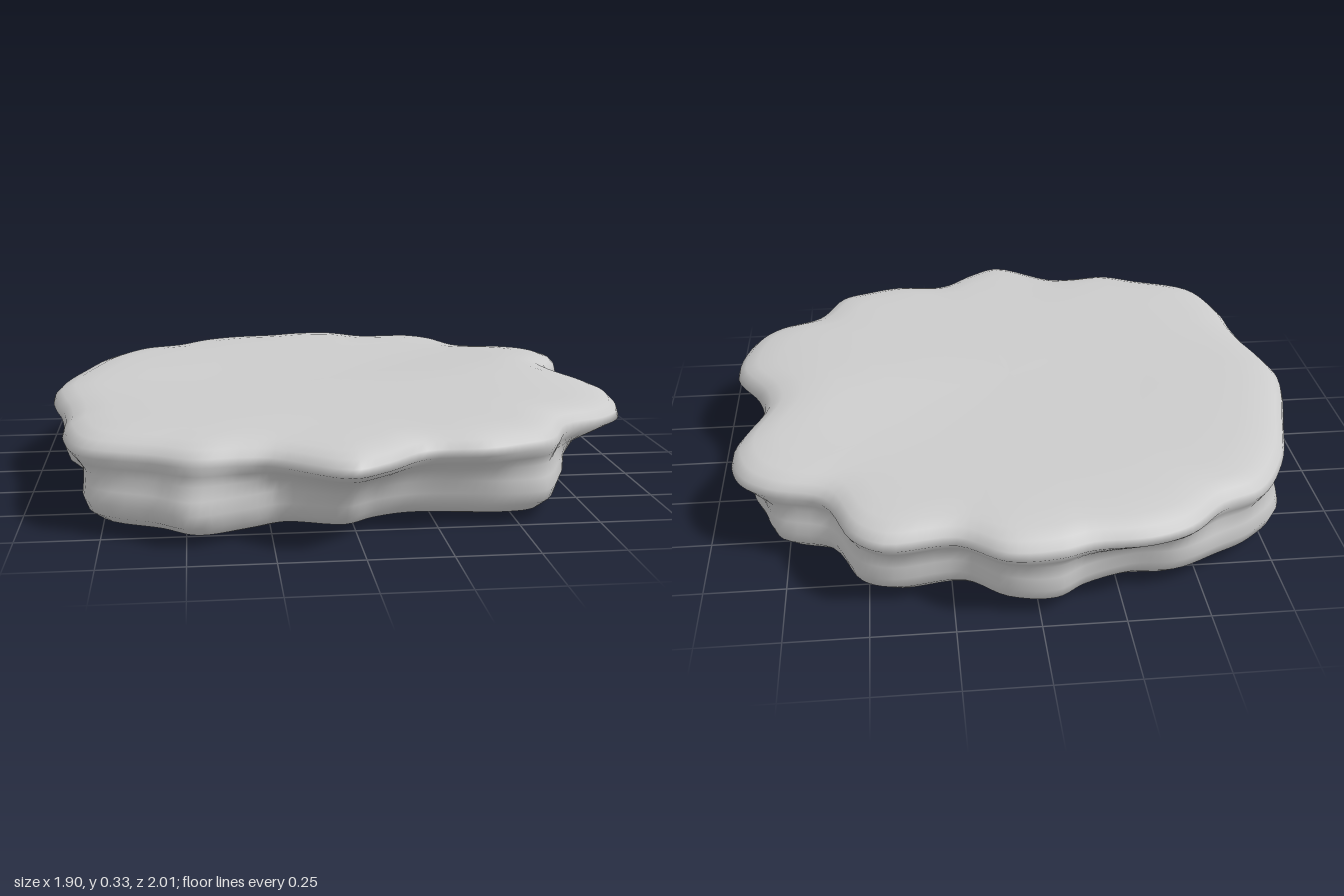
import * as THREE from 'three';

// Rim points: x, z and how far the lower bulge reaches relative to the rim
const RIM = [
  [-0.04, 1.0, 0.82], [0.07, 0.94, 0.81], [0.2, 0.83, 0.87], [0.38, 0.83, 0.88],
  [0.5, 0.79, 0.95], [0.6, 0.74, 0.98], [0.69, 0.57, 0.98], [0.84, 0.49, 0.85],
  [0.91, 0.4, 0.81], [0.95, 0.17, 0.86], [0.86, -0.02, 0.91], [0.84, -0.15, 0.97],
  [0.92, -0.38, 0.94], [0.89, -0.52, 0.92], [0.8, -0.6, 0.97], [0.63, -0.66, 0.98],
  [0.54, -0.85, 0.97], [0.45, -0.92, 0.94], [0.24, -0.91, 0.93], [0.1, -1.0, 0.94],
  [-0.05, -1.0, 0.96], [-0.15, -0.97, 0.93], [-0.32, -0.96, 0.89], [-0.45, -0.91, 0.94],
  [-0.57, -0.8, 0.99], [-0.7, -0.74, 0.98], [-0.81, -0.57, 1.0], [-0.88, -0.35, 0.85],
  [-0.95, -0.05, 0.93], [-0.93, 0.1, 0.97], [-0.9, 0.22, 0.9], [-0.88, 0.35, 0.83],
  [-0.87, 0.5, 0.92], [-0.8, 0.7, 0.98], [-0.6, 0.8, 1.0], [-0.48, 0.86, 1.02],
  [-0.35, 0.85, 0.97], [-0.25, 0.86, 0.9],
];

// Rings from underside to top: scale, height, share of the lower bulge
const RINGS = [
  [0, 0, 1], [0.4, 0, 1], [0.74, 0.002, 1], [0.87, 0.012, 1], [0.945, 0.03, 1],
  [0.985, 0.06, 1], [1, 0.1, 0.97], [0.99, 0.14, 0.85], [0.977, 0.18, 0.55],
  [0.987, 0.21, 0.22], [1, 0.238, 0], [0.992, 0.262, 0], [0.967, 0.284, 0],
  [0.92, 0.299, 0], [0.84, 0.306, 0], [0.7, 0.308, 0], [0.5, 0.307, 0],
  [0.25, 0.306, 0], [0, 0.306, 0],
];

function createSlabGeometry(segments = 190) {
  const curve = new THREE.CatmullRomCurve3(
    RIM.map(([x, z, low]) => new THREE.Vector3(x, low, z)), true, 'centripetal');
  const around = Array.from({ length: segments }, (_, i) => curve.getPoint(i / segments));
  const last = RINGS.length - 1;
  const position = [], index = [];

  RINGS.forEach(([scale, height, share], j) => {
    around.forEach((p, i) => {
      const s = scale * THREE.MathUtils.lerp(1, p.y, share);
      const x = p.x * s, z = p.z * s;
      // Gentle swell on the +x side of the top, and shallow waves elsewhere
      const swell = 0.026 * Math.exp(-(((x - 0.65) / 0.25) ** 2) - ((z + 0.05) / 0.35) ** 2);
      const wave = 0.004 * Math.sin(5 * x + 2 * z) * Math.cos(4 * z - x);
      const lift = THREE.MathUtils.smoothstep(height, 0.15, 0.3);
      position.push(x, height + (swell + wave) * lift, z);

      // Bands that meet a centre need one triangle per segment, the rest two
      if (j === last) return;
      const a = j * segments + i, b = j * segments + (i + 1) % segments;
      const c = b + segments, d = a + segments;
      if (j > 0) index.push(a, b, c);
      if (j < last - 1) index.push(a, c, d);
    });
  });

  const geometry = new THREE.BufferGeometry();
  geometry.setAttribute('position', new THREE.Float32BufferAttribute(position, 3));
  geometry.setIndex(index);
  geometry.computeVertexNormals();
  return geometry;
}

export function createModel() {
  const model = new THREE.Group();
  model.name = 'flatRock';
  const slab = new THREE.Mesh(
    createSlabGeometry(), new THREE.MeshStandardMaterial({ color: 0xcccccc }));
  slab.name = 'rockSlab';
  model.add(slab);
  return model;
}
